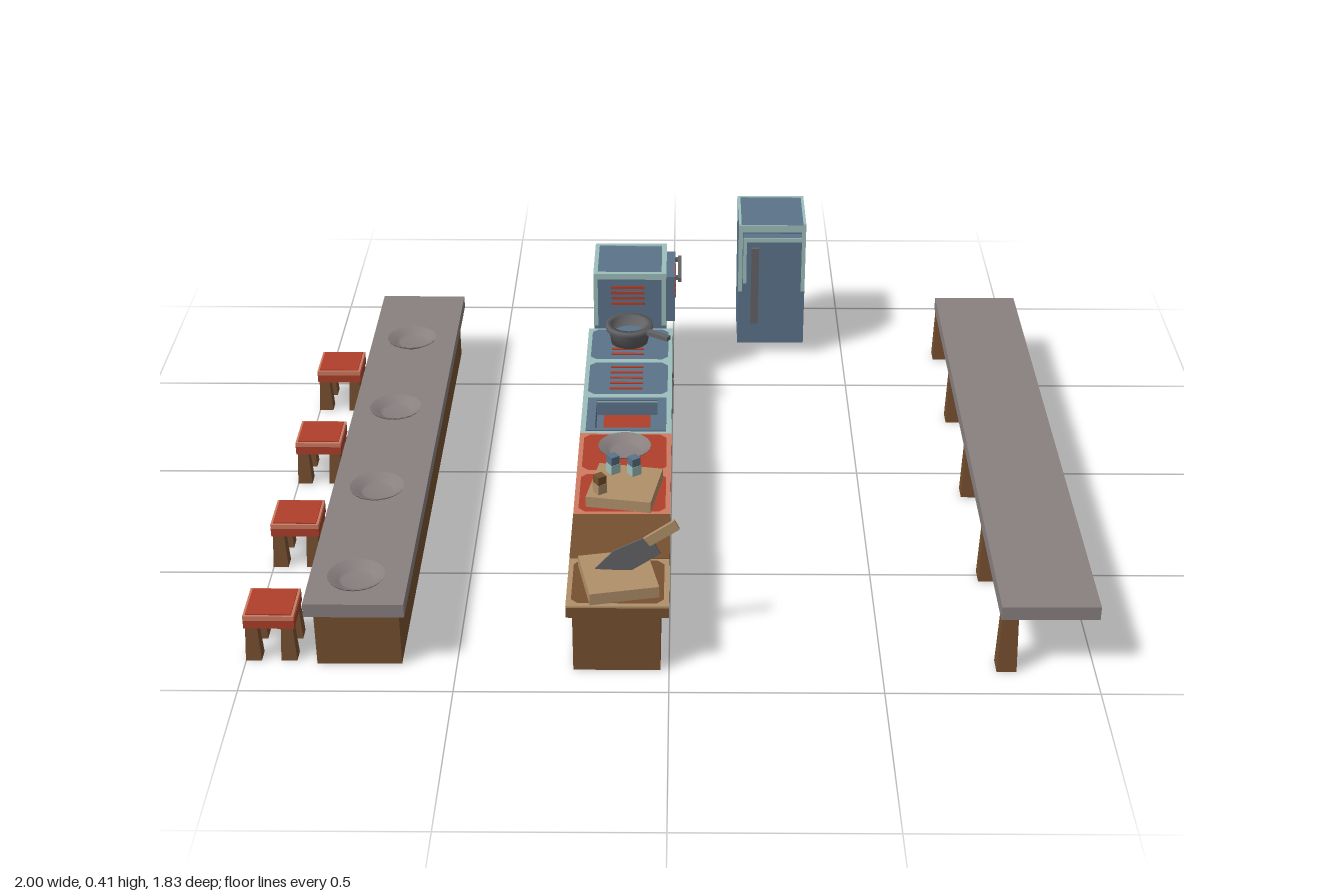
import * as THREE from 'three';

const mat = (name, color) => {
  const m = new THREE.MeshStandardMaterial({ color, side: THREE.DoubleSide });
  m.name = name;
  return m;
};

export function createModel() {
  const blue = mat('bluePaint', 0x5b7389), teal = mat('paleTeal', 0x9dbfbc);
  const red = mat('redPaint', 0xaf3f2b), salmon = mat('salmonTrim', 0xcf7b62);
  const brown = mat('brownWood', 0x76502f), tan = mat('tanWood', 0xb09069);
  const stone = mat('greyStone', 0x898080), metal = mat('darkMetal', 0x636366);
  const model = new THREE.Group();
  model.name = 'kitchen';

  const add = (parent, name, geo, material) => {
    const m = new THREE.Mesh(geo, material);
    m.name = name;
    parent.add(m);
    return m;
  };
  const group = (name, x = 0, y = 0, z = 0) => {
    const g = new THREE.Group();
    g.name = name;
    g.position.set(x, y, z);
    model.add(g);
    return g;
  };
  // Box from its limits; omit lists face numbers left open (2 = top, 3 = bottom)
  const box = (parent, name, material, x0, x1, y0, y1, z0, z1, omit = []) => {
    const geo = new THREE.BoxGeometry(x1 - x0, y1 - y0, z1 - z0);
    const idx = Array.from(geo.index.array).filter((_, i) => !omit.includes(Math.floor(i / 6)));
    geo.setIndex(idx);
    geo.clearGroups();
    geo.translate((x0 + x1) / 2, (y0 + y1) / 2, (z0 + z1) / 2);
    return add(parent, name, geo, material);
  };
  // Square post that narrows towards the top
  const post = (parent, name, x, z, h, bottom, top) => {
    const geo = new THREE.CylinderGeometry(top / Math.SQRT2, bottom / Math.SQRT2, h, 4, 1).toNonIndexed();
    geo.rotateY(Math.PI / 4);
    geo.computeVertexNormals();
    geo.translate(x, h / 2, z);
    return add(parent, name, geo, brown);
  };
  const lathe = (points, n = 24) => new THREE.LatheGeometry(points.map(p => new THREE.Vector2(...p)), n);
  const bowl = (name, x, z) => add(group(name, x, 0.18, z), 'bowlShell',
    lathe([[0, 0.004], [0.035, 0.004], [0.043, 0.009], [0.068, 0.022], [0.066, 0.018], [0.036, 0.001]]), stone);

  // Serving bar with bowls and stools
  const bar = group('servingBar');
  box(bar, 'barBase', brown, -0.83, -0.63, 0, 0.15, -0.69, 0.89, [2, 3]);
  box(bar, 'barTop', stone, -0.85, -0.615, 0.145, 0.18, -0.71, 0.91, [3]);
  for (const z of [-0.405, 0, 0.41, 0.815]) {
    bowl('barBowl', -0.735, z);
    const stool = group('stool', -0.94, 0, z);
    box(stool, 'seat', red, -0.06, 0.06, 0.088, 0.11, -0.06, 0.06);
    box(stool, 'seatTrim', salmon, -0.06, 0.06, 0.11, 0.122, -0.06, 0.06);
    box(stool, 'seatPaint', red, -0.054, 0.054, 0.122, 0.125, -0.054, 0.054);
    for (const sx of [-1, 1]) for (const sz of [-1, 1])
      post(stool, 'stoolLeg', sx * 0.042, sz * 0.045, 0.09, 0.038, 0.028);
  }

  // Long side table, legs along one edge only
  const table = group('sideTable');
  box(table, 'tableTop', stone, 0.77, 1, 0.145, 0.18, -0.71, 0.91, [3]);
  for (const z of [-0.685, -0.305, 0.1, 0.505, 0.89]) post(table, 'tableLeg', 0.792, z, 0.15, 0.047, 0.038);

  // Kitchen counter units
  const W = 0.2025;
  const unit = (name, zc, base, top, trim) => {
    const g = group(name, 0, 0, zc);
    box(g, 'cabinet', base, -0.225, -0.02, 0, 0.15, -W / 2, W / 2, [2, 3]);
    if (!trim) {
      box(g, 'worktop', top, -0.24, 0, 0.147, 0.18, -W / 2, W / 2);
      return g;
    }
    box(g, 'worktop', top, -0.24, 0, 0.147, 0.174, -W / 2, W / 2);
    box(g, 'worktopEdge', trim, -0.24, 0, 0.174, 0.179, -W / 2, W / 2);
    // Painted centre with clipped corners
    const a = 0.108, b = 0.091, c = 0.016;
    const s = new THREE.Shape([[-a + c, -b], [a - c, -b], [a, -b + c], [a, b - c], [a - c, b], [-a + c, b],
      [-a, b - c], [-a, -b + c]].map(p => new THREE.Vector2(...p)));
    const geo = new THREE.ShapeGeometry(s).rotateX(-Math.PI / 2).translate(-0.12, 0.181, 0);
    add(g, 'worktopPaint', geo, top);
    return g;
  };
  const zAt = i => 0.81 - i * W;
  const chopping = unit('choppingUnit', zAt(0), brown, brown, tan);
  unit('plainUnit', zAt(1), brown, brown, null);
  const spice = unit('condimentUnit', zAt(2), brown, red, salmon);
  unit('plateUnit', zAt(3), brown, red, salmon);
  bowl('counterBowl', -0.12, zAt(3));

  // Cutting boards
  for (const [g, x, z, turn] of [[chopping, -0.12, 0, 0.2], [spice, -0.115, 0, -0.17]]) {
    const board = box(g, 'cuttingBoard', tan, -0.082, 0.082, 0.18, 0.21, -0.084, 0.084);
    board.position.set(x, 0, z);
    board.rotation.y = turn;
  }

  // Cleaver standing in the board
  const plate = (parent, name, pts, depth, material) => add(parent, name, new THREE.ExtrudeGeometry(
    new THREE.Shape(pts.map(p => new THREE.Vector2(...p))), { depth, bevelEnabled: false }), material);
  const cleaver = group('cleaver', 0, 0, 0.8);
  plate(cleaver, 'blade', [[-0.175, 0.212], [-0.09, 0.208], [-0.02, 0.255], [-0.045, 0.305], [-0.13, 0.262]], 0.004, metal);
  plate(cleaver, 'cleaverHandle', [[-0.06, 0.298], [-0.045, 0.278], [0.024, 0.324], [0.012, 0.348]], 0.008, tan);

  // Small condiment bottles
  for (const [x, z, body, cap] of [[-0.145, 0.352, teal, blue], [-0.092, 0.36, teal, blue], [-0.175, 0.45, tan, brown]]) {
    const b = group('bottle', x, 0.21, z);
    b.rotation.y = 0.6;
    box(b, 'bottleBody', body, -0.013, 0.013, 0, 0.026, -0.013, 0.013);
    box(b, 'bottleCap', cap, -0.012, 0.012, 0.026, 0.048, -0.012, 0.012);
  }

  // Sink unit: worktop with an opening and a basin
  const sink = group('sinkUnit', 0, 0, zAt(4));
  box(sink, 'cabinet', blue, -0.225, -0.02, 0, 0.15, -W / 2, W / 2, [2, 3]);
  const frame = (name, material, ax, az, bx, bz, y, h) => {
    const rect = (P, hx, hz) => new P([[-hx, -hz], [hx, -hz], [hx, hz], [-hx, hz]].map(p => new THREE.Vector2(...p)));
    const s = rect(THREE.Shape, ax, az);
    s.holes.push(rect(THREE.Path, bx, bz));
    const geo = new THREE.ExtrudeGeometry(s, { depth: h, bevelEnabled: false });
    add(sink, name, geo.rotateX(-Math.PI / 2).translate(-0.12, y, 0), material);
  };
  frame('worktop', blue, 0.12, W / 2, 0.082, 0.076, 0.147, 0.027);
  frame('worktopEdge', teal, 0.12, W / 2, 0.082, 0.076, 0.174, 0.005);
  frame('sinkRim', blue, 0.106, 0.09, 0.082, 0.076, 0.179, 0.003);
  box(sink, 'basin', blue, -0.202, -0.038, 0.135, 0.16, -0.076, 0.076, [2]);
  box(sink, 'basinContents', red, -0.183, -0.057, 0.137, 0.142, -0.064, 0.064);

  // Two stoves with heating bars and oven handles
  for (const i of [5, 6]) {
    const stove = unit('stove', zAt(i), blue, blue, teal);
    for (let k = -2; k <= 2; k++)
      box(stove, 'heatingBar', red, -0.17, -0.08, 0.181, 0.184, k * 0.031 - 0.004, k * 0.031 + 0.004);
    box(stove, 'ovenHandle', metal, -0.008, 0.004, 0.118, 0.132, -0.085, 0.085);
    for (const z of [-0.07, 0.07]) box(stove, 'handleBracket', metal, -0.02, -0.006, 0.119, 0.131, z - 0.006, z + 0.006);
    for (const z of [-0.08, 0.08]) box(stove, 'paintChip', teal, -0.02, -0.018, 0.11, 0.147, z - 0.014, z + 0.014);
  }

  // Cooking pot with a long handle
  const pot = group('pot', -0.122, 0.184, zAt(6) - 0.016);
  add(pot, 'potShell', lathe([[0, 0], [0.052, 0], [0.058, 0.035], [0.066, 0.04], [0.066, 0.055],
    [0.05, 0.055], [0.047, 0.02], [0, 0.02]]), metal);
  add(pot, 'potContents', new THREE.CircleGeometry(0.047, 24).rotateX(-Math.PI / 2).translate(0, 0.024, 0), blue);
  const potHandle = box(pot, 'potHandle', metal, 0.06, 0.135, 0.04, 0.052, -0.009, 0.009);
  potHandle.rotation.y = -0.6;

  // Tall oven at the end of the row
  const oven = group('tallOven', 0, 0, zAt(7));
  box(oven, 'ovenBody', blue, -0.225, -0.02, 0, 0.35, -W / 2, W / 2, [3]);
  box(oven, 'ovenDoor', blue, -0.02, 0.006, 0.195, 0.335, -0.085, 0.085);
  box(oven, 'ovenHandle', metal, 0.014, 0.024, 0.315, 0.328, -0.075, 0.075);
  for (const z of [-0.06, 0.06]) box(oven, 'handleBracket', metal, 0.006, 0.015, 0.316, 0.327, z - 0.006, z + 0.006);
  for (let k = 0; k < 4; k++) {
    const y = 0.255 + k * 0.017;
    box(oven, 'doorVent', red, 0.006, 0.008, y, y + 0.008, -0.05, 0.05);
    box(oven, 'frontVent', red, -0.175, -0.08, y, y + 0.008, W / 2, W / 2 + 0.002);
  }
  // Worn edges
  for (const z of [-W / 2 + 0.006, W / 2 - 0.006]) box(oven, 'topEdge', teal, -0.225, -0.02, 0.35, 0.353, z - 0.006, z + 0.006);
  for (const x of [-0.219, -0.026]) {
    box(oven, 'topEdge', teal, x - 0.006, x + 0.006, 0.35, 0.353, -W / 2, W / 2);
    box(oven, 'frontEdge', teal, x - 0.006, x + 0.006, 0.19, 0.353, W / 2, W / 2 + 0.002);
  }
  box(oven, 'frontEdge', teal, -0.225, -0.02, 0.335, 0.353, W / 2, W / 2 + 0.002);
  box(oven, 'sideEdge', teal, -0.02, -0.018, 0.337, 0.353, -W / 2, W / 2);

  // Refrigerator
  const fridge = group('refrigerator');
  box(fridge, 'fridgeBody', blue, 0.19, 0.385, 0.03, 0.412, -0.915, -0.71);
  box(fridge, 'fridgeDoor', blue, 0.203, 0.372, 0.09, 0.385, -0.71, -0.68);
  box(fridge, 'fridgeHandle', metal, 0.226, 0.248, 0.12, 0.36, -0.67, -0.658);
  for (const y of [0.14, 0.33]) box(fridge, 'handleBracket', metal, 0.23, 0.244, y, y + 0.014, -0.68, -0.668);
  // Worn edges
  box(fridge, 'frontEdge', teal, 0.19, 0.385, 0.39, 0.412, -0.71, -0.708);
  for (const x of [0.19, 0.373]) box(fridge, 'frontEdge', teal, x, x + 0.012, 0.2, 0.412, -0.71, -0.708);
  box(fridge, 'doorEdge', teal, 0.203, 0.372, 0.372, 0.385, -0.68, -0.678);
  box(fridge, 'doorEdge', teal, 0.203, 0.213, 0.24, 0.385, -0.68, -0.678);
  for (const x of [0.19, 0.377]) box(fridge, 'topEdge', teal, x, x + 0.008, 0.412, 0.414, -0.915, -0.71);
  box(fridge, 'topEdge', teal, 0.19, 0.385, 0.412, 0.414, -0.915, -0.907);

  return model;
}
